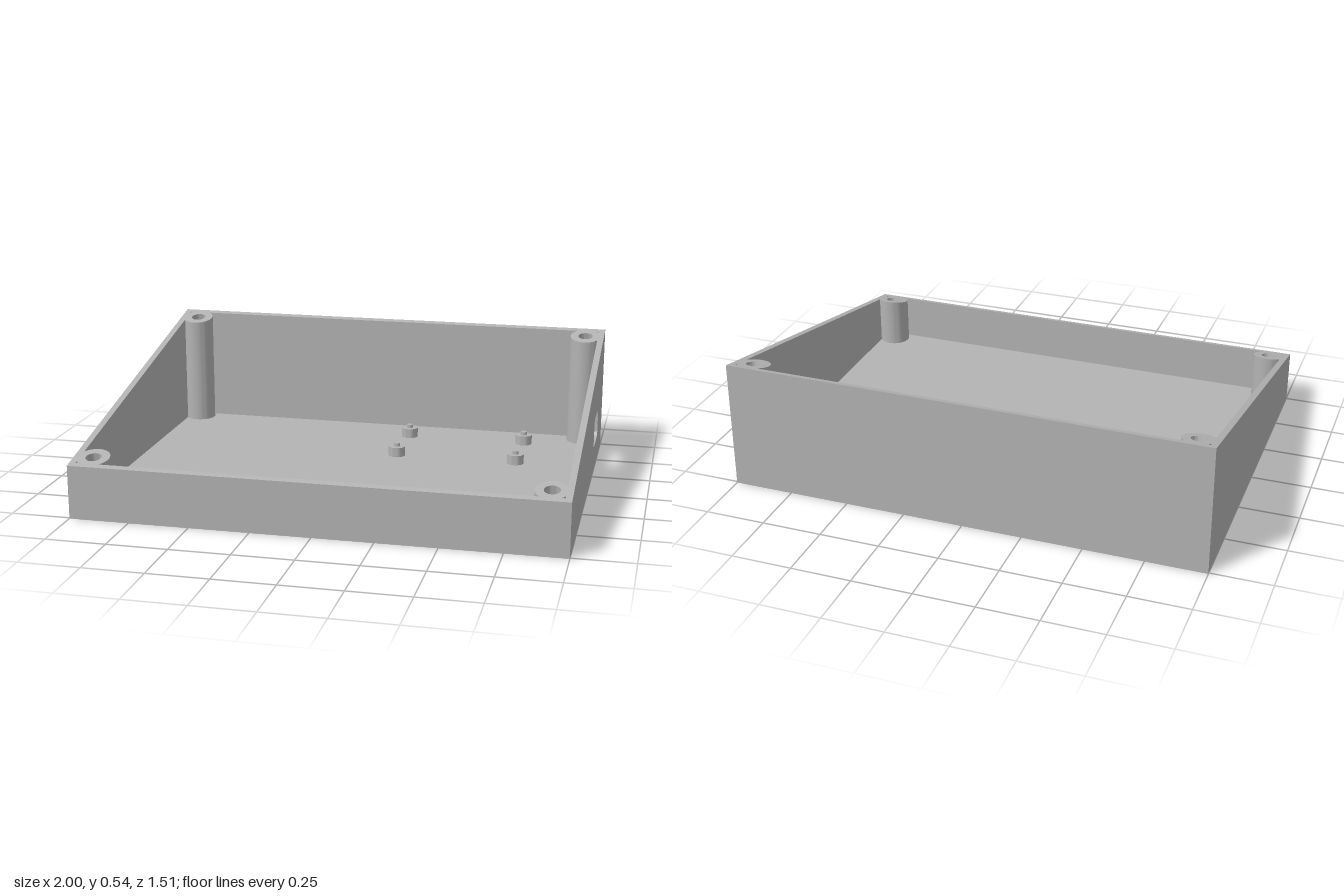
import * as THREE from 'three';
import { toCreasedNormals } from 'three/addons/utils/BufferGeometryUtils.js';

const HX = 1, HZ = 0.757, WALL = 0.027, FLOOR = 0.036;
const FRONT_H = 0.222, BACK_H = 0.543;
const SLOPE = (BACK_H - FRONT_H) / (2 * HZ);
// height of the sloping rim at a given z
const rim = z => FRONT_H + (HZ - z) * SLOPE;

export function createModel() {
  const group = new THREE.Group();
  const grey = new THREE.MeshStandardMaterial({ color: 0xb3b3b3 });
  grey.name = 'plain grey';

  const add = (name, geometry, x = 0, y = 0, z = 0) => {
    const mesh = new THREE.Mesh(toCreasedNormals(geometry, 0.6), grey);
    mesh.name = name;
    mesh.position.set(x, y, z);
    group.add(mesh);
  };

  // wall slice between two z values, extruded along x, with a sloping top
  const slice = (z0, z1, x0, x1, hole) => {
    const shape = new THREE.Shape([
      new THREE.Vector2(-z1, 0), new THREE.Vector2(-z0, 0),
      new THREE.Vector2(-z0, rim(z0)), new THREE.Vector2(-z1, rim(z1)),
    ]);
    if (hole) shape.holes.push(hole);
    return new THREE.ExtrudeGeometry(shape, { depth: x1 - x0, bevelEnabled: false, curveSegments: 8 })
      .rotateY(Math.PI / 2).translate(x0, 0, 0);
  };

  // rounded port opening (u runs towards the back)
  const port = new THREE.Path();
  const u0 = 0.305, u1 = 0.512, v0 = 0.111, v1 = 0.241, r = 0.026;
  port.absarc(u1 - r, v0 + r, r, -Math.PI / 2, 0);
  port.absarc(u1 - r, v1 - r, r, 0, Math.PI / 2);
  port.absarc(u0 + r, v1 - r, r, Math.PI / 2, Math.PI);
  port.absarc(u0 + r, v0 + r, r, Math.PI, Math.PI * 1.5);
  port.closePath();

  // four walls
  const ix = HX - WALL, iz = HZ - WALL;
  add('leftWall', slice(-HZ, HZ, ix, HX, port));
  add('rightWall', slice(-HZ, HZ, -HX, -ix));
  add('frontWall', slice(iz, HZ, -ix, ix));
  add('backWall', slice(-HZ, -iz, -ix, ix));

  // floor: lower layer has round foot recesses, upper layer closes them
  const plate = (y0, y1, recesses) => {
    const shape = new THREE.Shape([[-ix, -iz], [ix, -iz], [ix, iz], [-ix, iz]]
      .map(p => new THREE.Vector2(...p)));
    for (const [x, z] of recesses) {
      shape.holes.push(new THREE.Path().absarc(x, z, 0.067, 0, Math.PI * 2));
    }
    return new THREE.ExtrudeGeometry(shape, { depth: y1 - y0, bevelEnabled: false, curveSegments: 24 })
      .rotateX(-Math.PI / 2).translate(0, y0, 0);
  };
  const corners = [[1, 1], [1, -1], [-1, 1], [-1, -1]];
  add('floorUnderside', plate(0, 0.016, corners.map(([a, b]) => [a * 0.85, b * 0.61])));
  add('floor', plate(0.016, FLOOR, []));

  // corner screw posts: top follows the rim, the blind hole is square to it
  const DEPTH = 0.11;
  const post = cz => {
    const profile = [[0.067, 0], [0.067, 1], [0.032, 1], [0.032, 2], [0, 2]]
      .map(p => new THREE.Vector2(...p));
    const geometry = new THREE.LatheGeometry(profile, 40);
    const pos = geometry.attributes.position;
    for (let i = 0; i < pos.count; i++) {
      const level = Math.round(pos.getY(i)), z = pos.getZ(i);
      if (level === 0) pos.setY(i, FLOOR);
      else pos.setY(i, rim(cz + z) - (level === 2 ? DEPTH : 0));
      if (level === 2) pos.setZ(i, z - DEPTH * SLOPE);
    }
    return geometry;
  };
  for (const [a, b] of corners) add('screwPost', post(b * 0.677), a * 0.918, 0, b * 0.677);

  // circuit board standoffs with locating pins
  for (const x of [0.135, 0.665]) {
    for (const z of [-0.565, -0.262]) {
      const profile = [[0.037, 0], [0.037, 0.042], [0.014, 0.042], [0.014, 0.056], [0, 0.056]]
        .map(p => new THREE.Vector2(...p));
      add('standoff', new THREE.LatheGeometry(profile, 28), x, FLOOR, z);
    }
  }
  return group;
}
